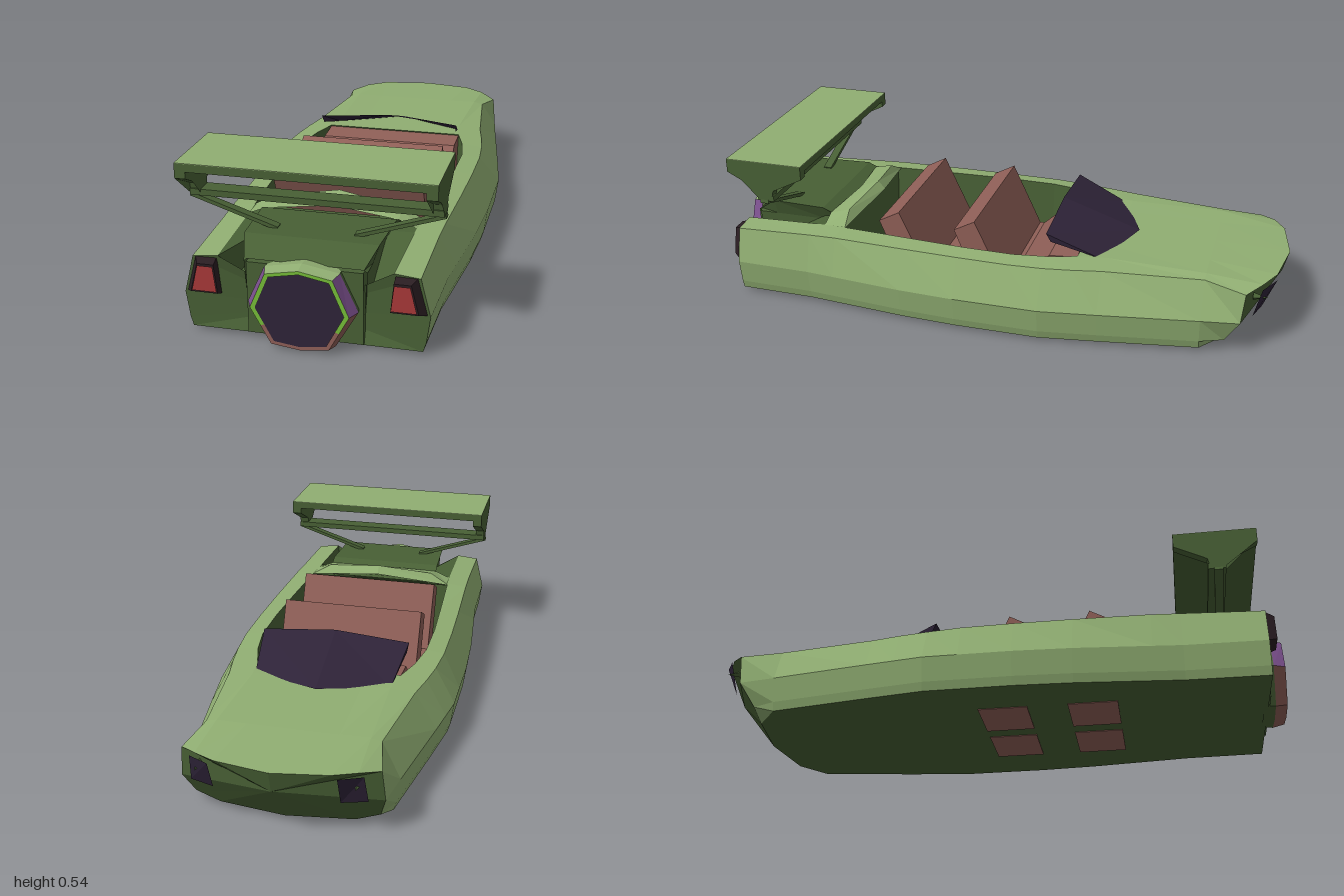
import * as THREE from 'three';

const mat = (name, color, side = THREE.FrontSide) => {
  const m = new THREE.MeshStandardMaterial({ color, flatShading: true, side });
  m.name = name;
  return m;
};

export function createModel() {
  const group = new THREE.Group();
  const D = THREE.DoubleSide;
  const light = mat('light green', 0x90ae72, D), dark = mat('dark green', 0x486035, D);
  const brown = mat('brown', 0x8f5f57, D), glass = mat('dark violet', 0x2e2338, D);
  const red = mat('red', 0xa83838), lime = mat('lime', 0x76bd38, D);
  const purple = mat('purple', 0x7a4f8c, D), black = mat('lamp frame', 0x2a1d22, D);

  // Mesh from convex polygons, each a list of points
  const add = (name, material, polys) => {
    const v = [];
    for (const p of polys)
      for (let i = 1; i < p.length - 1; i++) v.push(...p[0], ...p[i], ...p[i + 1]);
    const g = new THREE.BufferGeometry();
    g.setAttribute('position', new THREE.Float32BufferAttribute(v, 3));
    g.computeVertexNormals();
    const m = new THREE.Mesh(g, material);
    m.name = name;
    group.add(m);
  };
  const box = (name, material, w, h, d, x, y, z) => {
    const m = new THREE.Mesh(new THREE.BoxGeometry(w, h, d), material);
    m.name = name;
    m.position.set(x, y, z);
    group.add(m);
    return m;
  };
  const flip = p => p.map(([x, y, z]) => [-x, y, z]).reverse();
  const both = polys => polys.concat(polys.map(flip));
  // Quads for one strip of points between two half rings
  const strip = (a, b, from, to) => {
    const out = [];
    for (let j = from; j < to; j++) out.push([a[j], a[j + 1], b[j + 1], b[j]]);
    return out;
  };
  // Solid prism: side profile of [z, y] spanning the width
  const prism = (name, material, prof, w, x = 0) => {
    const L = prof.map(([z, y]) => [x - w, y, z]), R = prof.map(([z, y]) => [x + w, y, z]);
    const n = prof.length;
    add(name, material, [R, [...L].reverse(),
      ...L.map((p, i) => [p, L[(i + 1) % n], R[(i + 1) % n], R[i]])]);
  };

  // Hull half rings, bottom centre to deck centre
  const ring = (z, wm, wt, wi, yt, inner = yt + 0.006) => [
    [0, 0.015, z], [wm - 0.021, 0.015, z], [wm - 0.012, 0.045, z],
    [wm, 0.13, z], [wt, yt, z], [wi, yt + 0.008, z], [wi * (inner < 0.1 ? 0.95 : 0.6), inner, z], [0, inner, z]];
  const nose = [[0, 0.015, -0.85], [0.22, 0.015, -0.82], [0.3, 0.045, -0.82], [0.325, 0.13, -0.87],
    [0.315, 0.235, -0.88], [0.255, 0.25, -0.93], [0.18, 0.255, -0.97], [0, 0.255, -1]];
  // Tail drops to a notch between the two rear fenders
  const tail = [...ring(0.935, 0.38, 0.35, 0.27, 0.252).slice(0, 6), [0.26, 0.13, 0.9], [0, 0.13, 0.9]];
  const front = [nose, ring(-0.74, 0.345, 0.285, 0.25, 0.255, 0.262),
    ring(-0.4, 0.4, 0.325, 0.24, 0.258), ring(-0.3, 0.415, 0.345, 0.255, 0.258)];
  const mid = [ring(-0.3, 0.415, 0.345, 0.255, 0.258, 0.05), ring(-0.2, 0.43, 0.36, 0.285, 0.258, 0.05),
    ring(-0.08, 0.43, 0.37, 0.305, 0.26, 0.05), ring(0.1, 0.43, 0.37, 0.305, 0.262, 0.05),
    ring(0.3, 0.42, 0.365, 0.295, 0.264, 0.05), ring(0.56, 0.395, 0.355, 0.28, 0.266, 0.05)];
  const back = [ring(0.56, 0.395, 0.355, 0.28, 0.266), ring(0.66, 0.385, 0.352, 0.275, 0.263), tail];
  const loft = (rings, from, to) => both(rings.slice(1).flatMap((r, i) => strip(rings[i], r, from, to)));
  add('hullBottom', dark, [front, mid, back].flatMap(s => loft(s, 0, 1)));
  add('hullSides', light, [front, mid, back].flatMap(s => loft(s, 1, 5)));
  add('bonnet', light, loft(front, 5, 7));
  add('cockpitTub', dark, loft(mid, 5, 7));
  add('rearDeck', dark, loft(back, 5, 7));
  for (const [z, w] of [[-0.3, 0.255], [0.56, 0.28]])
    add('cockpitWall', dark, [[[-w, 0.05, z], [w, 0.05, z], [w, 0.266, z], [-w, 0.266, z]]]);

  // Nose and tail caps
  const cap = (r, c, dir) => both(r.slice(1).map((p, j) => dir > 0 ? [c, r[j], p] : [c, p, r[j]]));
  add('noseFace', dark, cap(nose, [0, 0.18, -0.98], -1));
  add('tailFace', dark, cap(tail, [0, 0.1, 0.9], 1));

  // Headlights with small whisker fins
  add('headlights', glass, both([[[0.28, 0.14, -0.905], [0.2, 0.14, -0.93], [0.2, 0.244, -0.972], [0.272, 0.238, -0.93]]]));
  for (const s of [-1, 1]) {
    const fin = new THREE.Mesh(new THREE.ConeGeometry(0.014, 0.05, 4), dark);
    fin.name = 'headlightFin';
    fin.rotation.x = -Math.PI / 2;
    fin.position.set(s * 0.25, 0.2, -0.925);
    group.add(fin);
  }

  // Windscreen: sloped panes with side gussets
  const wt = [0.262, 0.34, -0.19], wb = [0.238, 0.258, -0.38];
  add('windscreen', glass, both([
    [[0, 0.268, -0.47], [0, 0.362, -0.19], wt, wb], [wb, wt, [0.258, 0.31, -0.205]]]));

  // Dashboard sloping down under the windscreen
  prism('dashboard', brown, [[-0.3, 0.262], [-0.2, 0.255], [-0.01, 0.08], [-0.29, 0.06]], 0.255);

  // Two bench seats
  for (const z of [0, 0.28]) {
    prism('seatBack', brown, [[z + 0.07, 0.348], [z - 0.07, 0.05], [z + 0.04, 0.05], [z + 0.145, 0.308]], 0.258);
    box('seatCushion', brown, 0.516, 0.07, 0.14, 0, 0.085, z - 0.04);
    for (const s of [-1, 1])
      box('seatUnderside', brown, 0.2, 0.004, 0.17, s * 0.13, 0.0145, z * 1.1 + 0.04);
  }

  // Raised chevron rim behind the cockpit
  add('rearRim', light, both([
    [[0, 0.31, 0.505], [0, 0.338, 0.53], [0.21, 0.312, 0.56], [0.285, 0.27, 0.55]],
    [[0, 0.338, 0.53], [0, 0.31, 0.6], [0.22, 0.295, 0.63], [0.21, 0.312, 0.56]],
    [[0.21, 0.312, 0.56], [0.22, 0.295, 0.63], [0.285, 0.268, 0.63], [0.285, 0.27, 0.55]]]));

  // Engine cover, from half rings
  const cover = (z, w, y) => [[0.18, 0.1, z], [0.19, 0.25, z], [w, y, z], [0, y, z]];
  const covers = [cover(0.58, 0.22, 0.275), cover(0.66, 0.22, 0.31), cover(0.86, 0.21, 0.31), cover(0.93, 0.18, 0.258)];
  add('engineCover', dark, loft(covers, 0, 3));
  box('engineBlock', dark, 0.36, 0.235, 0.05, 0, 0.135, 0.915);

  // Faceted exhaust nozzle on a collar
  const outline = (z, sx, sy) => [[0, 0.275], [0.115, 0.255], [0.17, 0.135], [0.1, 0.015], [0, 0.003]]
    .map(([x, y]) => [x * sx, 0.137 + (y - 0.137) * sy, z]);
  const root = outline(0.92, 0.96, 0.96), outer = outline(0.96, 1, 1);
  const lip = outline(1, 0.89, 0.95), inner = outline(1, 0.8, 0.87);
  const wall = j => both([[outer[j], lip[j], lip[j + 1], outer[j + 1]]]);
  add('nozzleCollar', dark, both(strip(root, outer, 1, 4)));
  add('nozzleTop', light, [...wall(0), ...both(strip(root, outer, 0, 1))]);
  add('nozzleSides', purple, wall(1));
  add('nozzleBottom', brown, [...wall(2), ...wall(3)]);
  const half = r => r[2].map((v, i) => (v + r[3][i]) / 2);
  const lh = half(lip), ih = half(inner);
  add('nozzleGlow', lime, both([...strip(lip, inner, 0, 2), [lip[2], lh, ih, inner[2]]]));
  add('nozzleLowerRim', brown, both([[lh, lip[3], inner[3], ih], ...strip(lip, inner, 3, 4)]));
  add('nozzleCore', glass, both([outline(0.997, 0.82, 0.89).reverse()]));

  // Tail lights: tapered housing and red lens
  const lampBack = [[0.374, 0.133, 0.93], [0.343, 0.252, 0.93], [0.275, 0.252, 0.93], [0.264, 0.133, 0.93]];
  const lampFront = [[0.35, 0.147, 0.963], [0.327, 0.241, 0.963], [0.275, 0.241, 0.963], [0.265, 0.147, 0.963]];
  add('tailLightHousings', black, both([lampFront,
    ...lampBack.map((p, i) => [p, lampBack[(i + 1) % 4], lampFront[(i + 1) % 4], lampFront[i]])]));
  add('tailLights', red, both([[[0.345, 0.153, 0.967], [0.325, 0.236, 0.967], [0.277, 0.236, 0.967], [0.267, 0.153, 0.967]].reverse()]
    .map(p => [...p].reverse())));

  // Spoiler: wide top blade, tapered end plates, lower bar and struts
  box('spoilerBlade', dark, 0.79, 0.025, 0.28, 0, 0.529, 0.79);
  box('spoilerTop', light, 0.79, 0.002, 0.28, 0, 0.5425, 0.79);
  box('spoilerBar', dark, 0.79, 0.02, 0.06, 0, 0.41, 0.79);
  for (const s of [-1, 1]) {
    prism('spoilerEndPlate', dark, [[0.93, 0.52], [0.65, 0.52], [0.65, 0.495], [0.76, 0.44], [0.77, 0.4], [0.81, 0.4], [0.82, 0.44], [0.93, 0.495]], 0.017, s * 0.378);
    const strut = box('spoilerStrut', dark, 0.29, 0.012, 0.03, s * 0.26, 0.353, 0.795);
    strut.rotation.z = s * Math.atan2(0.09, 0.275);
  }
  return group;
}
